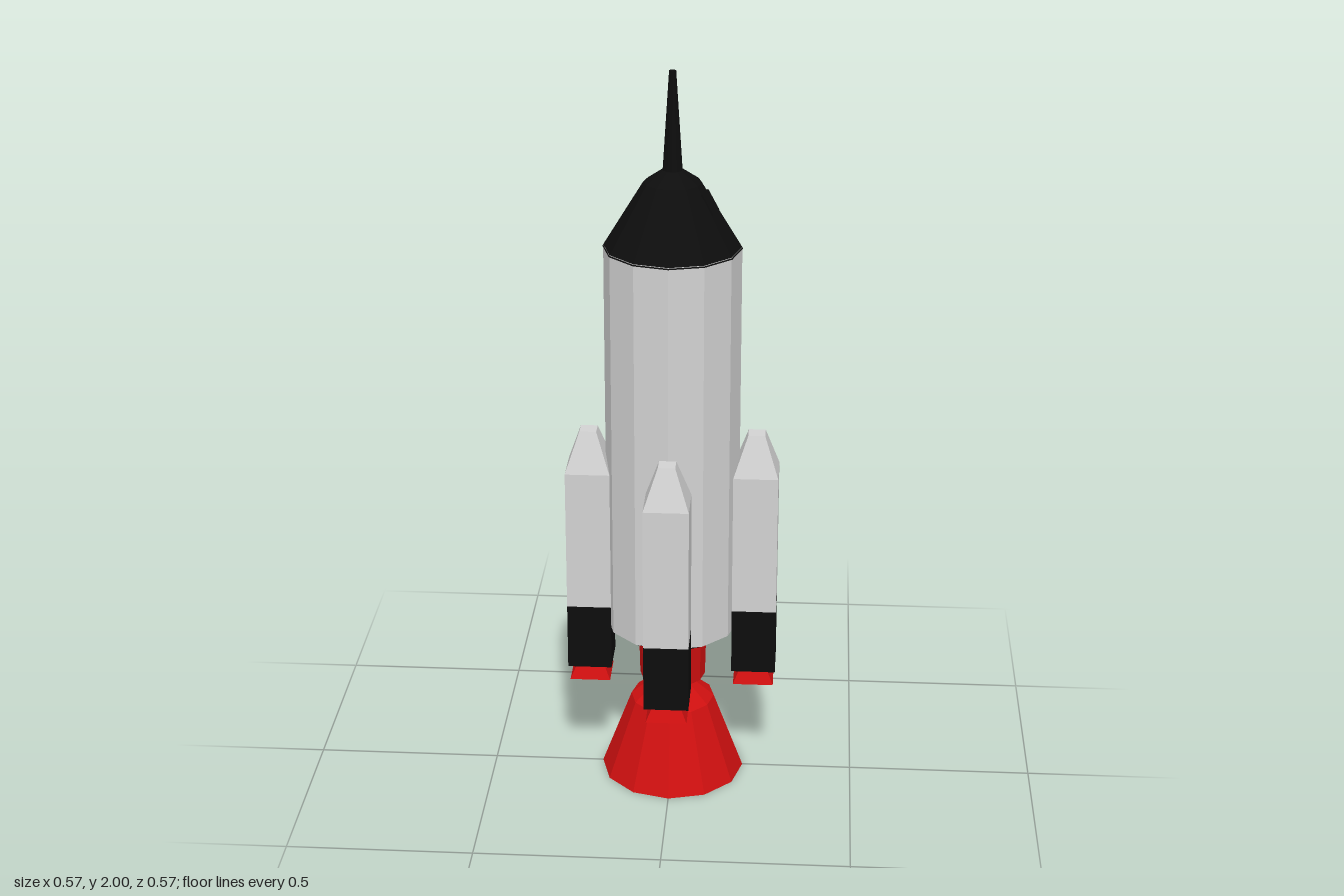
import * as THREE from 'three';

export function createModel() {
  const rocket = new THREE.Group();
  rocket.name = 'rocket';
  const mat = (name, color, extra = {}) =>
    new THREE.MeshStandardMaterial({ name, color, flatShading: true, ...extra });
  const grey = mat('hull grey', 0xd2d2d2);
  const black = mat('black', 0x0d0d0d);
  const red = mat('engine red', 0xd01010);
  const yellow = mat('flame yellow', 0xe0c010);

  const add = (parent, name, geometry, material) => {
    const mesh = new THREE.Mesh(geometry, material);
    mesh.name = name;
    parent.add(mesh);
    return mesh;
  };
  // twelve-sided turned part from [radius, height] points
  const turned = (name, profile, material) => add(rocket, name,
    new THREE.LatheGeometry(profile.map(([r, y]) => new THREE.Vector2(r, y)), 12), material);
  // square frustum between two heights, given half widths
  const square = (parent, name, top, bottom, y0, y1, material) => {
    const g = new THREE.CylinderGeometry(top * Math.SQRT2, bottom * Math.SQRT2, y1 - y0, 4);
    g.rotateY(Math.PI / 4).translate(0, (y0 + y1) / 2, 0);
    return add(parent, name, g, material);
  };

  // main stack
  turned('body', [[0.18, 0.455], [0.18, 1.54]], grey);
  turned('bodyBase', [[0, 0.4], [0.085, 0.4], [0.18, 0.455]], black);
  turned('noseCone', [[0.182, 1.535], [0.075, 1.71], [0.028, 1.742], [0, 1.745]], black);
  turned('noseSpike', [[0.026, 1.735], [0.009, 2], [0, 2]], black);

  // main engine
  turned('engineNeck', [[0.055, 0.265], [0.09, 0.29], [0.093, 0.41]], red);
  turned('engineBell', [[0.197, 0], [0.115, 0.22], [0.055, 0.27]], red);
  turned('engineBellInside', [[0, 0.24], [0.1, 0.215], [0.197, 0]], yellow);

  // hatch on one back facet of the hull
  const hatchTurn = new THREE.Group();
  hatchTurn.name = 'hatch';
  hatchTurn.rotation.y = Math.PI * 1.25;
  rocket.add(hatchTurn);
  add(hatchTurn, 'hatchPanel', new THREE.BoxGeometry(0.088, 0.145, 0.008), grey)
    .position.set(0, 1.22, 0.175);

  // small window on the nose slope
  const windowTurn = new THREE.Group();
  windowTurn.name = 'noseWindow';
  windowTurn.rotation.y = Math.PI * 5 / 12;
  rocket.add(windowTurn);
  const pane = add(windowTurn, 'windowPane', new THREE.BoxGeometry(0.05, 0.06, 0.006), black);
  pane.position.set(0, 1.665, 0.1);
  pane.rotation.x = -0.53;

  // four strap-on boosters
  for (let i = 0; i < 4; i++) {
    const turn = new THREE.Group();
    turn.name = 'booster';
    turn.rotation.y = i * Math.PI / 2;
    rocket.add(turn);
    const booster = new THREE.Group();
    booster.name = 'boosterParts';
    booster.position.z = 0.225;
    turn.add(booster);
    square(booster, 'boosterSkirt', 0.06, 0.06, 0.33, 0.515, black);
    square(booster, 'boosterTank', 0.06, 0.06, 0.515, 0.91, grey);
    square(booster, 'boosterNose', 0.0225, 0.06, 0.91, 1.02, grey);
    square(booster, 'boosterNozzle', 0.035, 0.055, 0.287, 0.332, red);
    square(booster, 'boosterFlame', 0.038, 0.038, 0.285, 0.289, yellow);
  }
  return rocket;
}
